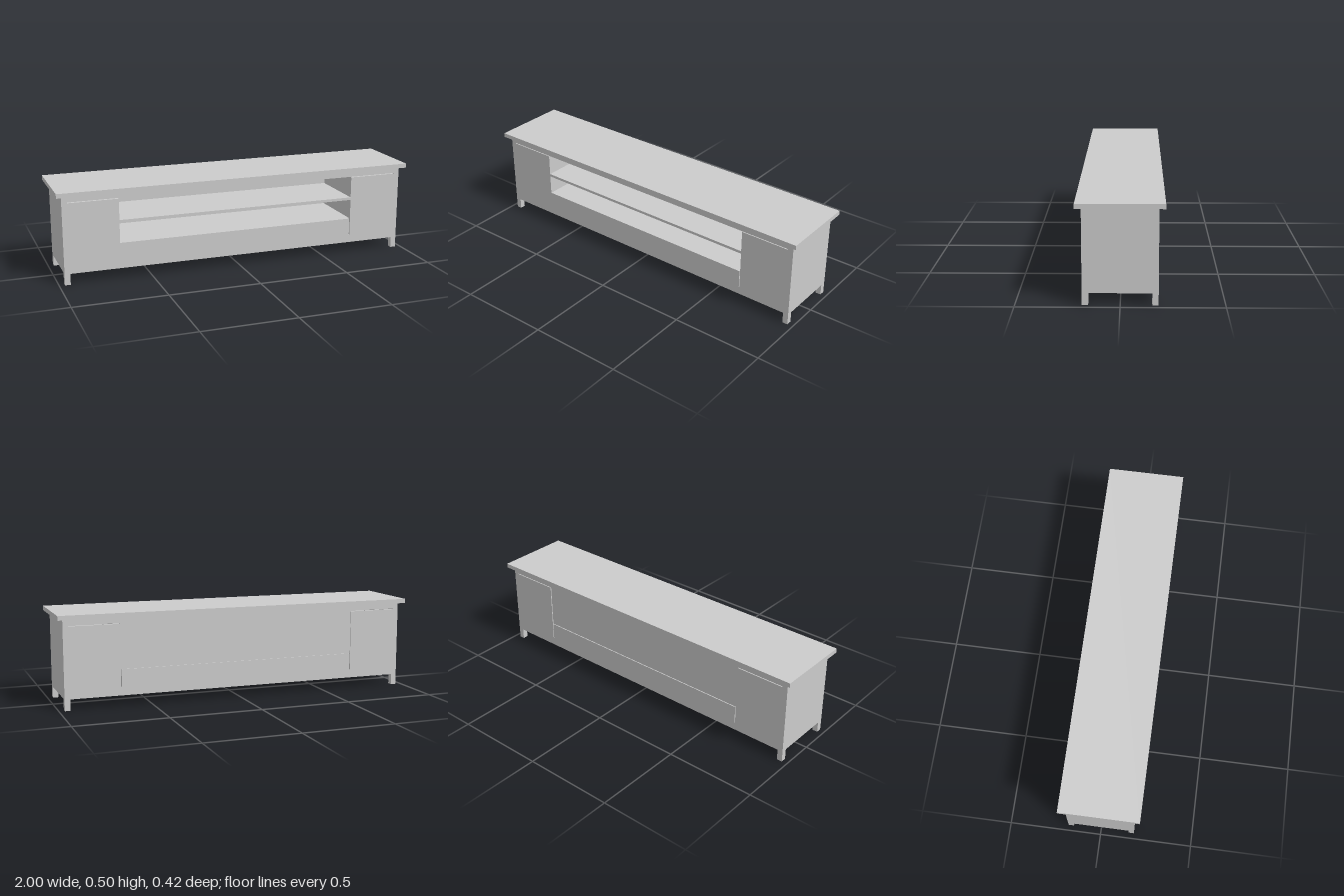
import * as THREE from 'three';

export function createModel() {
  const model = new THREE.Group();
  const material = new THREE.MeshStandardMaterial({ color: 0xcccccc, flatShading: true });

  // Box given by its lower and upper limits on each axis
  function box(name, [x0, x1], [y0, y1], [z0, z1]) {
    const mesh = new THREE.Mesh(new THREE.BoxGeometry(x1 - x0, y1 - y0, z1 - z0), material);
    mesh.position.set((x0 + x1) / 2, (y0 + y1) / 2, (z0 + z1) / 2);
    mesh.name = name;
    model.add(mesh);
  }
  // Limits mirrored for the negative side
  const span = (s, a, b) => (s > 0 ? [a, b] : [-b, -a]);

  const W = 0.97, D = 0.182, T = 0.03; // half width, half depth, post size
  const inner = W - T, bay = 0.67, gap = 0.004;
  const floorY = 0.06, railY = 0.105, deckY = 0.2, headY = 0.445, topY = 0.478;

  box('top', [-1, 1], [topY, 0.502], [-0.212, 0.212]);
  box('floor', [-inner, inner], [floorY, railY], [-D, D]);

  // Head rail, with a shallow shadow gap below it on both faces
  box('headRail', [-inner, inner], [headY, topY], [-D, D]);

  for (const s of [-1, 1]) {
    // Corner posts run down to form the feet
    for (const f of [-1, 1]) {
      box('cornerPost', span(s, inner, W), [0, topY], span(f, D - T, D));
      // Doors on the front and the matching panels on the back
      box(f > 0 ? 'door' : 'backDoorPanel', span(s, bay, inner), [railY, headY - gap], span(f, D - 0.016, D));
    }
    box('sidePanel', span(s, inner, W), [floorY, topY], [-D + T, D - T]);
    box('divider', span(s, bay, bay + 0.016), [railY, headY], [-D + 0.016, D - 0.016]);
  }

  // Drawer block under the open bay, with thin gaps beside it
  box('drawerFront', [-bay, bay - gap], [railY, deckY], [D - 0.016, D]);
  box('lowerBackPanel', [-bay + gap, bay - gap], [railY, deckY], [-D, -D + 0.016]);
  box('deck', [-bay, bay], [deckY - 0.016, deckY], [-D + 0.016, D - 0.016]);

  // Open bay: shelf and slightly recessed back
  box('shelf', [-bay, bay], [0.31, 0.325], [-D + 0.014, D]);
  box('backPanel', [-bay, bay], [deckY, headY], [-D + 0.005, -D + 0.014]);

  return model;
}
